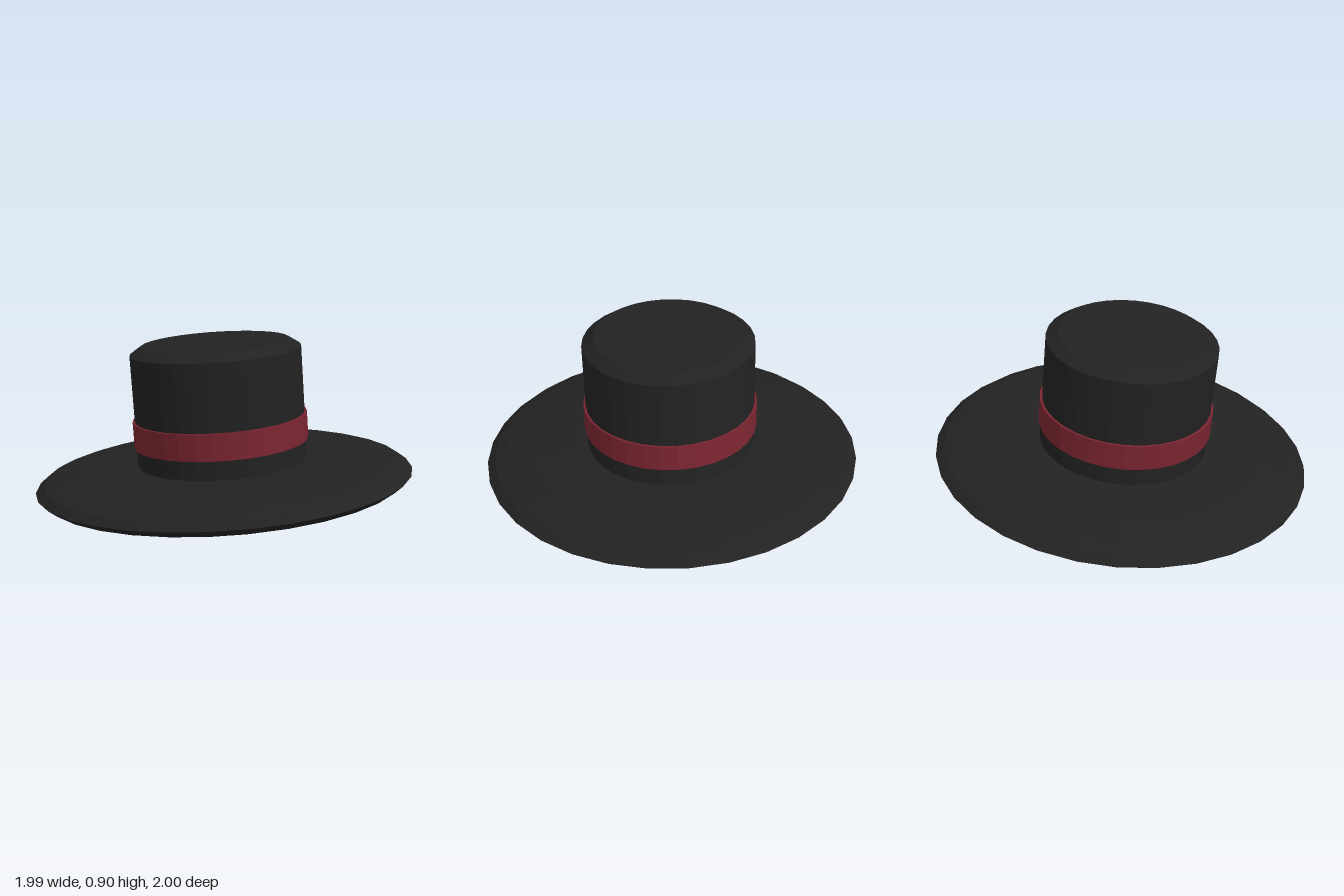
import * as THREE from 'three';

const SIDES = 32;

// Flat-shaded lathe part from a bottom-to-top list of [radius, height] pairs
function turned(name, profile, color) {
  const points = profile.map(([r, y]) => new THREE.Vector2(r, y));
  const mesh = new THREE.Mesh(
    new THREE.LatheGeometry(points, SIDES),
    new THREE.MeshStandardMaterial({ color, flatShading: true })
  );
  mesh.name = name;
  return mesh;
}

export function createModel() {
  const felt = 0x222222;
  const ribbon = 0x7b2530;

  const hat = new THREE.Group();
  hat.name = 'hat';

  // Brim: shallow lens, mirrored above and below its rim
  const lower = [[0, -0.093], [0.5, -0.091], [0.74, -0.08], [0.9, -0.055], [0.955, -0.037]];
  const upper = lower.map(([r, y]) => [r, -y]).reverse();
  hat.add(turned('brim', [...lower, [1, 0], ...upper], felt));

  // Crown: straight wall with a bevelled top edge
  hat.add(turned('crown', [[0.45, 0.05], [0.45, 0.683], [0.39, 0.723], [0, 0.723]], felt));

  // Ribbon band around the crown
  hat.add(turned('band', [[0.445, 0.192], [0.462, 0.192], [0.462, 0.332], [0.445, 0.332]], ribbon));

  // The whole hat leans towards -x
  hat.rotation.z = THREE.MathUtils.degToRad(5);
  hat.position.y = 0.148;

  const model = new THREE.Group();
  model.name = 'tiltedHat';
  model.add(hat);
  return model;
}
